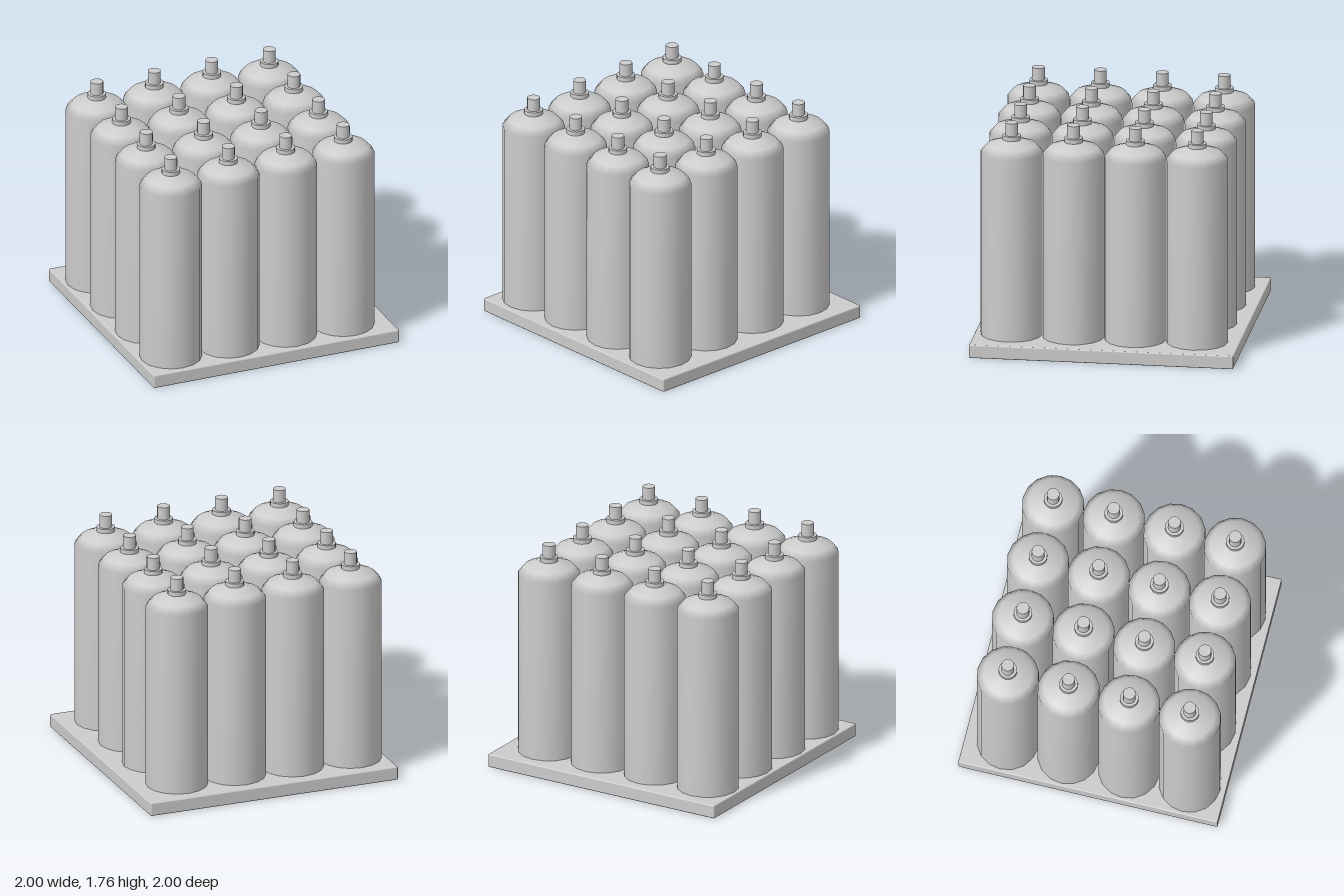
import * as THREE from 'three';
import { RoundedBoxGeometry } from 'three/addons/geometries/RoundedBoxGeometry.js';

const SIDES = 16;
const PITCH = 0.468;

export function createModel() {
  const root = new THREE.Group();
  root.name = 'gasCylinderPallet';
  const material = new THREE.MeshStandardMaterial({ color: 0xcccccc });

  const addMesh = (parent, geometry, name, y = 0) => {
    const mesh = new THREE.Mesh(geometry, material);
    mesh.name = name;
    mesh.position.y = y;
    parent.add(mesh);
  };

  // Square base plate with softened edges
  addMesh(root, new RoundedBoxGeometry(2, 0.104, 2, 2, 0.01), 'basePlate', 0.052);

  // Bottle: straight wall, domed shoulder running in under the collar
  const profile = [
    [0.234, 0.1], [0.234, 1.53], [0.187, 1.585], [0.07, 1.627], [0, 1.632],
  ].map(([r, y]) => new THREE.Vector2(r, y));
  const bodyGeometry = new THREE.LatheGeometry(profile, SIDES);
  const collarGeometry = new THREE.CylinderGeometry(0.07, 0.07, 0.04, SIDES);
  const valveGeometry = new THREE.CylinderGeometry(0.048, 0.048, 0.1, SIDES);

  // Four by four bottles, set slightly off the centre of the plate
  for (let row = 0; row < 4; row++) {
    for (let column = 0; column < 4; column++) {
      const bottle = new THREE.Group();
      bottle.name = `gasCylinder_${row + 1}_${column + 1}`;
      bottle.position.set(-0.744 + column * PITCH, 0, -0.68 + row * PITCH);
      addMesh(bottle, bodyGeometry, 'body');
      addMesh(bottle, collarGeometry, 'neckCollar', 1.64);
      addMesh(bottle, valveGeometry, 'valveStem', 1.707);
      root.add(bottle);
    }
  }
  return root;
}
